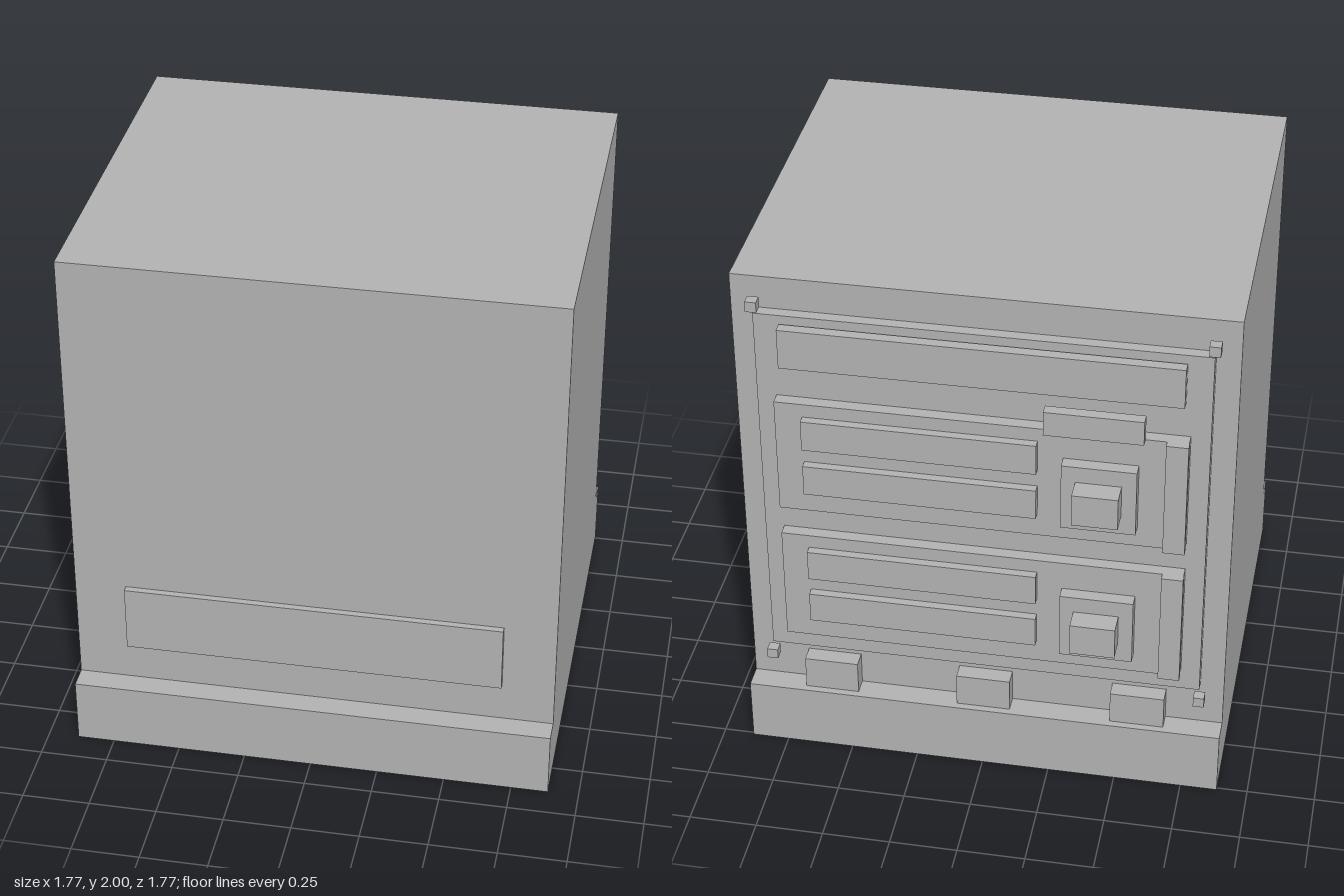
import * as THREE from 'three';

export function createModel() {
  const model = new THREE.Group();
  model.name = 'cabinet';
  const grey = new THREE.MeshStandardMaterial({ color: 0xb3b3b3 });
  grey.name = 'grey';

  // Box given by its limits along x, y and z
  function block(name, [x0, x1], [y0, y1], [z0, z1], parent = model) {
    const mesh = new THREE.Mesh(new THREE.BoxGeometry(x1 - x0, y1 - y0, z1 - z0), grey);
    mesh.name = name;
    mesh.position.set((x0 + x1) / 2, (y0 + y1) / 2, (z0 + z1) / 2);
    parent.add(mesh);
  }

  // Housing
  block('base', [-0.887, 0.887], [0, 0.25], [-0.76, 0.887]);
  block('body', [-0.887, 0.887], [0.25, 2], [-0.67, 0.8]);
  block('frontPlate', [-0.697, 0.695], [0.405, 0.66], [0.8, 0.825]);

  // Rear panel with header strip and label
  block('rearPanel', [-0.8, 0.8], [0.43, 1.875], [-0.712, -0.67]);
  block('headerStrip', [-0.71, 0.706], [1.69, 1.845], [-0.76, -0.72]);
  block('label', [-0.58, -0.23], [1.55, 1.645], [-0.8, -0.758]);

  // Two identical equipment modules, one above the other
  for (const y of [0.522, 1.091]) {
    const unit = new THREE.Group();
    unit.name = 'module';
    unit.position.y = y;
    model.add(unit);
    block('modulePlate', [-0.73, 0.73], [0, 0.455], [-0.758, -0.712], unit);
    block('verticalBar', [-0.732, -0.654], [0, 0.455], [-0.785, -0.758], unit);
    for (const s of [0.093, 0.283]) {
      block('slot', [-0.205, 0.63], [s, s + 0.12], [-0.79, -0.758], unit);
    }
    block('knobPlate', [-0.56, -0.295], [0.08, 0.343], [-0.806, -0.758], unit);
    block('knob', [-0.508, -0.345], [0.155, 0.28], [-0.887, -0.806], unit);
  }

  // Corner bolts
  for (const x of [-0.803, 0.793]) {
    for (const y of [0.405, 1.925]) {
      block('cornerBolt', [x - 0.02, x + 0.02], [y - 0.02, y + 0.02], [-0.755, -0.715]);
    }
  }

  // Connectors on the rear ledge
  for (const x of [-0.575, 0, 0.575]) {
    block('connector', [x - 0.1, x + 0.1], [0.25, 0.38], [-0.733, -0.67]);
  }
  return model;
}
